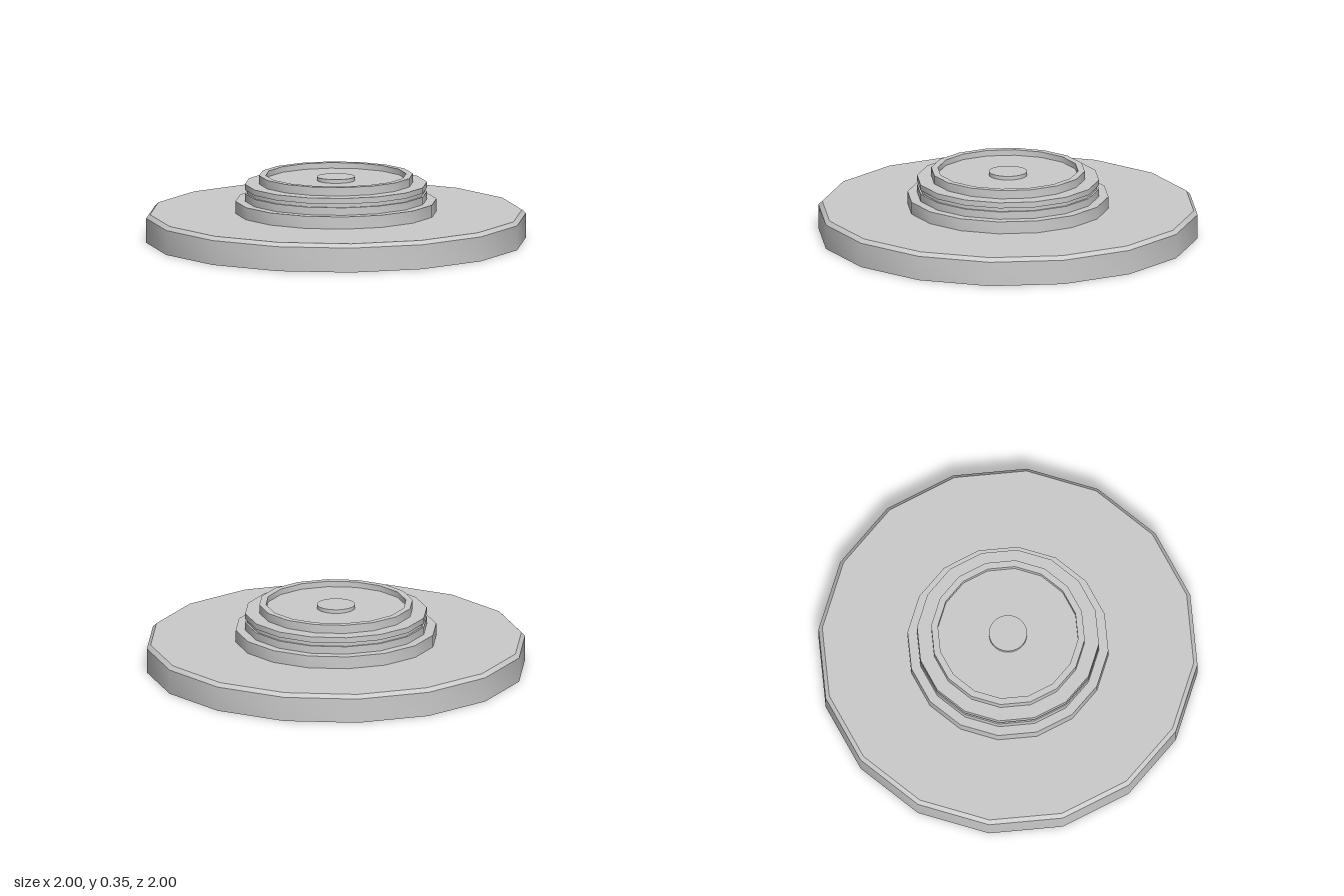
import * as THREE from 'three';
import { toCreasedNormals } from 'three/addons/utils/BufferGeometryUtils.js';

const material = new THREE.MeshStandardMaterial({ color: 0xcccccc });

// Turns a [radius, height] profile, listed from the bottom up, around the y axis
function turned(name, profile, sides = 16) {
  const points = profile.map(([r, y]) => new THREE.Vector2(r, y));
  const geometry = toCreasedNormals(new THREE.LatheGeometry(points, sides), 0.6);
  const mesh = new THREE.Mesh(geometry, material);
  mesh.name = name;
  return mesh;
}

export function createModel() {
  const model = new THREE.Group();
  model.name = 'steppedDisc';

  // Wide base with a small chamfer on its top edge
  model.add(turned('base', [[0, 0], [1, 0], [1, 0.13], [0.98, 0.15], [0, 0.15]]));

  // Lower step
  model.add(turned('lowerStep', [[0.4, 0.15], [0.53, 0.15], [0.53, 0.215], [0.4, 0.215]]));

  // Middle collar with a shallow groove
  model.add(turned('groovedCollar', [
    [0.38, 0.215], [0.48, 0.215], [0.48, 0.255], [0.47, 0.255],
    [0.47, 0.275], [0.48, 0.275], [0.48, 0.305], [0.38, 0.305],
  ]));

  // Raised rim around a sunken floor
  model.add(turned('rimmedTop', [
    [0.405, 0.305], [0.405, 0.35], [0.37, 0.35], [0.37, 0.32], [0, 0.32],
  ]));

  // Small round button in the centre
  model.add(turned('centreButton', [[0.1, 0.32], [0.1, 0.34], [0, 0.34]], 32));

  return model;
}
